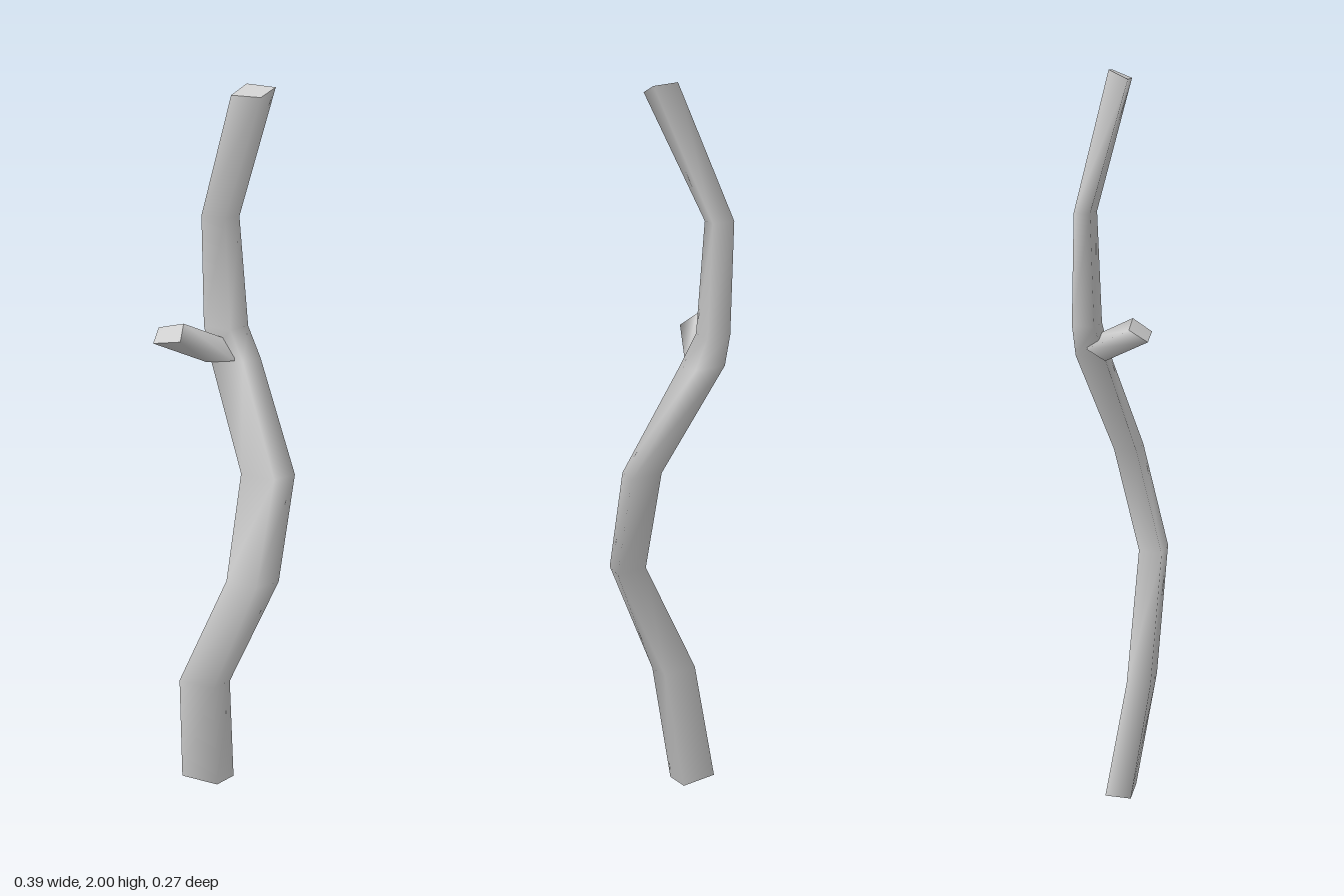
import * as THREE from 'three';

// Lofts four-cornered rings (front-left, front-right, back-right, back-left)
// into a smooth-shaded limb with flat end caps.
function limb(name, rings, material) {
  const positions = rings.flat(2);
  const index = [];
  for (let i = 0; i < rings.length - 1; i++) {
    for (let j = 0; j < 4; j++) {
      const a = i * 4 + j, b = i * 4 + (j + 1) % 4;
      index.push(a, b, b + 4, a, b + 4, a + 4);
    }
  }
  // caps use their own corners so their edges stay sharp
  const n = rings.length * 4;
  positions.push(...rings[0].flat(), ...rings[rings.length - 1].flat());
  index.push(n, n + 2, n + 1, n, n + 3, n + 2);
  index.push(n + 4, n + 5, n + 6, n + 4, n + 6, n + 7);

  const geometry = new THREE.BufferGeometry();
  geometry.setAttribute('position', new THREE.Float32BufferAttribute(positions, 3));
  geometry.setIndex(index);
  geometry.computeVertexNormals();
  const mesh = new THREE.Mesh(geometry, material);
  mesh.name = name;
  return mesh;
}

// Level ring at height y from four [x, z] corners
const ring = (y, corners) => corners.map(([x, z]) => [x, y, z]);

export function createModel() {
  const group = new THREE.Group();
  group.name = 'stick';
  const wood = new THREE.MeshStandardMaterial({ color: 0xcccccc });
  wood.name = 'pale grey wood';

  // Crooked main stem, thinning towards a slanted tip
  group.add(limb('stem', [
    ring(0, [[-0.135, 0.02], [-0.02, 0.04], [0.005, -0.03], [-0.11, -0.05]]),
    ring(0.325, [[-0.12, 0.075], [-0.01, 0.098], [0.015, 0.03], [-0.095, 0.01]]),
    ring(0.66, [[0.035, 0.112], [0.13, 0.135], [0.172, 0.07], [0.075, 0.05]]),
    ring(0.95, [[0.052, 0.042], [0.155, 0.065], [0.193, 0], [0.09, -0.02]]),
    ring(1.24, [[-0.07, -0.05], [0.03, -0.035], [0.055, -0.108], [-0.05, -0.127]]),
    ring(1.325, [[-0.1, -0.078], [-0.015, -0.055], [0.015, -0.118], [-0.06, -0.137]]),
    ring(1.63, [[-0.11, -0.088], [-0.035, -0.068], [-0.01, -0.115], [-0.082, -0.131]]),
    [[0.013, 1.975, 0.016], [0.1, 1.975, 0.03], [0.123, 1.996, -0.022], [0.038, 2, -0.035]],
  ], wood));

  // Short side twig, rooted inside the stem
  const tip = [
    [-0.195, 1.3, 0.062], [-0.11, 1.315, 0.077],
    [-0.12, 1.353, 0.025], [-0.198, 1.333, 0.012],
  ];
  const root = tip.map(([x, y, z]) => [x + 0.115, y - 0.07, z - 0.11]);
  group.add(limb('sideTwig', [root, tip], wood));

  return group;
}
